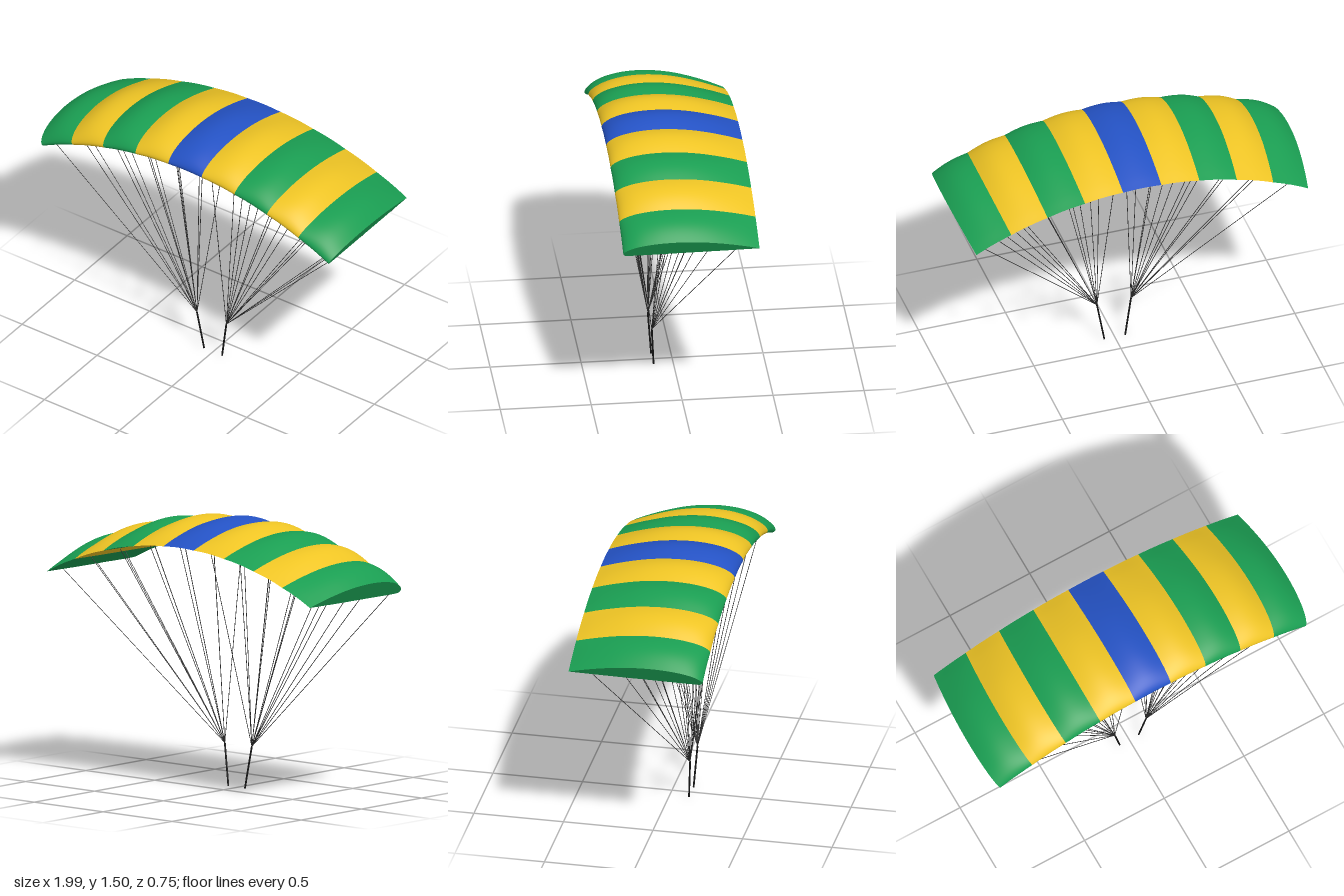
import * as THREE from 'three';

const ARC_Y = -0.702, ARC_R = 2.077;      // span-wise arc of the canopy underside
const CELLS = 9, TIP = 0.475, STEP = 2 * TIP / CELLS;

const GREEN = 0x1a9e52, YELLOW = 0xeec424, BLUE = 0x2452c4;
const COLORS = [BLUE, YELLOW, GREEN, YELLOW, GREEN]; // centre cell to tip cell

// Wing section as (z, height above underside): trailing edge, over the top, round the nose, back below
const PROFILE = new THREE.CatmullRomCurve3([
  [-0.375, 0.01], [-0.3, 0.042], [-0.2, 0.077], [-0.1, 0.104], [0, 0.12], [0.1, 0.125],
  [0.2, 0.117], [0.29, 0.094], [0.345, 0.064], [0.37, 0.036], [0.374, 0.018], [0.364, 0.004],
  [0.335, 0], [0.1, 0.002], [-0.15, 0.005], [-0.375, 0.01],
].map(([z, h]) => new THREE.Vector3(z, h, 0)), false, 'centripetal').getPoints(75);

// Point on the canopy at span angle a, chord position z and height h
const place = (a, z, h) =>
  new THREE.Vector3(Math.sin(a) * (ARC_R + h), ARC_Y + Math.cos(a) * (ARC_R + h), z);

const RIB = 0.82; // a rib is lower than the puffed middle of a cell

// One inflated cell, swept between two ribs
function cellGeometry(a0) {
  const n = 16, m = PROFILE.length, pos = [], index = [];
  for (let i = 0; i <= n; i++) {
    const puff = RIB + (1 - RIB) * Math.sin(Math.PI * i / n);
    for (const p of PROFILE) pos.push(...place(a0 + STEP * i / n, p.x, p.y * puff).toArray());
  }
  for (let i = 0; i < n; i++) for (let j = 0; j < m - 1; j++) {
    const a = i * m + j, b = a + 1, c = a + m, d = c + 1;
    index.push(a, b, c, b, d, c);
  }
  const g = new THREE.BufferGeometry();
  g.setAttribute('position', new THREE.Float32BufferAttribute(pos, 3));
  g.setIndex(index);
  g.computeVertexNormals();
  return g;
}

// Flat wall closing the canopy at a tip
function tipGeometry(a) {
  const g = new THREE.ShapeGeometry(new THREE.Shape(PROFILE.slice(0, -1).map(p => new THREE.Vector2(p.x, p.y * RIB))));
  const p = g.attributes.position;
  for (let i = 0; i < p.count; i++) {
    const v = place(a, p.getX(i), p.getY(i));
    p.setXYZ(i, v.x, v.y, v.z);
  }
  // the section faces -x once placed, so turn the left wall outward
  if (a > 0) {
    const ix = g.index.array;
    for (let i = 0; i < ix.length; i += 3) [ix[i], ix[i + 1]] = [ix[i + 1], ix[i]];
  }
  g.computeVertexNormals();
  return g;
}

// Straight round cord between two points
function cord(name, from, to, radius, material) {
  const dir = to.clone().sub(from);
  const mesh = new THREE.Mesh(new THREE.CylinderGeometry(radius, radius, dir.length(), 6), material);
  mesh.position.copy(from).addScaledVector(dir, 0.5);
  mesh.quaternion.setFromUnitVectors(new THREE.Vector3(0, 1, 0), dir.normalize());
  mesh.name = name;
  return mesh;
}

export function createModel() {
  const model = new THREE.Group();
  model.name = 'paragliderWing';
  const fabric = {};
  for (const color of COLORS)
    fabric[color] ??= new THREE.MeshStandardMaterial({ color, side: THREE.DoubleSide });
  const lineMaterial = new THREE.MeshStandardMaterial({ color: 0x2a2a2a });
  const riserMaterial = new THREE.MeshStandardMaterial({ color: 0x151515 });

  // Canopy cells
  const canopy = new THREE.Group();
  canopy.name = 'canopy';
  for (let k = 0; k < CELLS; k++) {
    const cell = new THREE.Mesh(cellGeometry(-TIP + k * STEP), fabric[COLORS[Math.abs(k - 4)]]);
    cell.name = 'canopyCell';
    canopy.add(cell);
  }
  for (const side of [-1, 1]) {
    const wall = new THREE.Mesh(tipGeometry(side * TIP), fabric[GREEN]);
    wall.name = 'tipWall';
    canopy.add(wall);
  }
  model.add(canopy);

  // Suspension lines in three rows, gathered at a riser on each side
  for (const side of [-1, 1]) {
    const rigging = new THREE.Group();
    rigging.name = side > 0 ? 'leftRigging' : 'rightRigging';
    const joint = new THREE.Vector3(side * 0.098, 0.235, 0.122);
    for (let rib = 0; rib < 5; rib++)
      for (const z of [0.285, 0.04, -0.24])
        rigging.add(cord('suspensionLine', joint, place(side * (rib + 0.5) * STEP, z, 0.004), 0.0018, lineMaterial));
    rigging.add(cord('riser', new THREE.Vector3(side * 0.06, 0, 0.108), joint, 0.005, riserMaterial));
    model.add(rigging);
  }
  return model;
}
